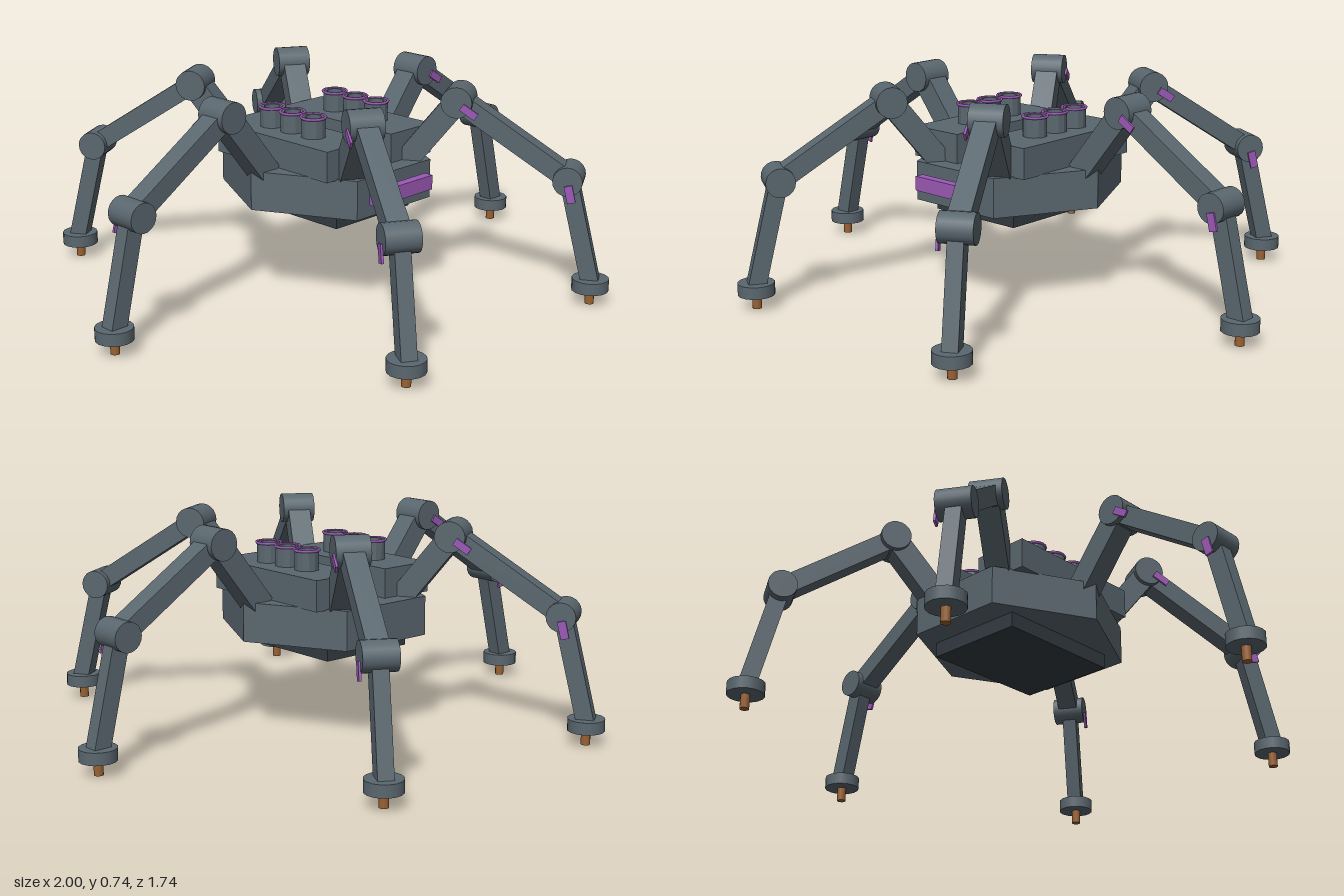
import * as THREE from 'three';

const mat = (color, flatShading = false) => new THREE.MeshStandardMaterial({ color, flatShading });
const slate = mat(0x5a676f);
const slateFlat = mat(0x5a676f, true);
const dark = mat(0x343b42);
const purple = mat(0x9b59b6);
const copper = mat(0x9a6233);

function add(parent, name, geometry, material, x = 0, y = 0, z = 0) {
  const mesh = new THREE.Mesh(geometry, material);
  mesh.name = name;
  mesh.position.set(x, y, z);
  parent.add(mesh);
  return mesh;
}

// Square bar between two [x, y] points
function bar(parent, name, a, b, thick, wide) {
  const dx = b[0] - a[0], dy = b[1] - a[1];
  const mesh = add(parent, name, new THREE.BoxGeometry(Math.hypot(dx, dy), thick, wide), slate,
    (a[0] + b[0]) / 2, (a[1] + b[1]) / 2);
  mesh.rotation.z = Math.atan2(dy, dx);
  return mesh;
}

// One leg, reaching out along +x
function makeLeg() {
  const leg = new THREE.Group();
  leg.name = 'leg';
  const hip = [0.285, 0.455], knee = [0.468, 0.687], ankle = [0.847, 0.441], foot = [0.935, 0.08];
  bar(leg, 'hipArm', hip, knee, 0.08, 0.08);
  const thigh = bar(leg, 'thigh', knee, ankle, 0.066, 0.072);
  const shin = bar(leg, 'shin', ankle, foot, 0.06, 0.052);

  for (const [name, p, r] of [['kneeJoint', knee, 0.053], ['ankleJoint', ankle, 0.05]]) {
    const joint = add(leg, name, new THREE.CylinderGeometry(r, r, 0.115, 20), slate, p[0], p[1]);
    joint.rotation.x = Math.PI / 2;
  }

  // Thin light strips beside the joints
  const kneeStrip = add(leg, 'kneeStrip', new THREE.BoxGeometry(0.06, 0.026, 0.008), purple, 0.512, 0.659, 0.06);
  kneeStrip.rotation.z = thigh.rotation.z;
  const ankleStrip = add(leg, 'ankleStrip', new THREE.BoxGeometry(0.06, 0.028, 0.008), purple, 0.857, 0.4, 0.06);
  ankleStrip.rotation.z = shin.rotation.z;

  // Foot pad and pin
  add(leg, 'footPad', new THREE.CylinderGeometry(0.063, 0.063, 0.042, 16), slate, foot[0], 0.07);
  add(leg, 'footPin', new THREE.CylinderGeometry(0.016, 0.016, 0.06, 10), copper, foot[0], 0.03);
  return leg;
}

export function createModel() {
  const model = new THREE.Group();
  model.name = 'sixLeggedWalker';

  // Six-sided hull
  const outline = new THREE.Shape(
    [[0.347, 0], [0.18, 0.33], [-0.18, 0.33], [-0.347, 0], [-0.18, -0.33], [0.18, -0.33]]
      .map(([x, z]) => new THREE.Vector2(x, z)));
  const hull = new THREE.ExtrudeGeometry(outline, { depth: 0.135, bevelEnabled: false });
  hull.rotateX(-Math.PI / 2);
  add(model, 'hull', hull, slate, 0, 0.337, 0);
  add(model, 'bellyPlate', new THREE.BoxGeometry(0.36, 0.055, 0.47), dark, 0, 0.3125, 0);
  add(model, 'visor', new THREE.BoxGeometry(0.275, 0.05, 0.033), purple, 0, 0.41, 0.361);

  // Paired deck pods, each with three launch tubes
  const tubeProfile = [[0.042, 0], [0.042, 0.07], [0.028, 0.07], [0.028, 0.03]]
    .map(([r, y]) => new THREE.Vector2(r, y));
  for (const side of [-1, 1]) {
    add(model, 'deckPod', new THREE.BoxGeometry(0.205, 0.105, 0.532), slate, side * 0.153, 0.521, 0);
    for (const z of [-0.1, 0, 0.1]) {
      const tube = new THREE.Group();
      tube.name = 'launchTube';
      tube.position.set(side * 0.153, 0.572, z);
      model.add(tube);
      add(tube, 'tubeWall', new THREE.LatheGeometry(tubeProfile, 12), slateFlat);
      add(tube, 'tubeCore', new THREE.CylinderGeometry(0.03, 0.03, 0.05, 6), dark, 0, 0.025);
      const ring = add(tube, 'tubeRing', new THREE.TorusGeometry(0.042, 0.005, 6, 16), purple, 0, 0.069);
      ring.rotation.x = Math.PI / 2;
    }
  }

  // Legs evenly around the hull
  for (let i = 0; i < 6; i++) {
    const leg = makeLeg();
    leg.rotation.y = (i * Math.PI) / 3;
    model.add(leg);
  }
  return model;
}
